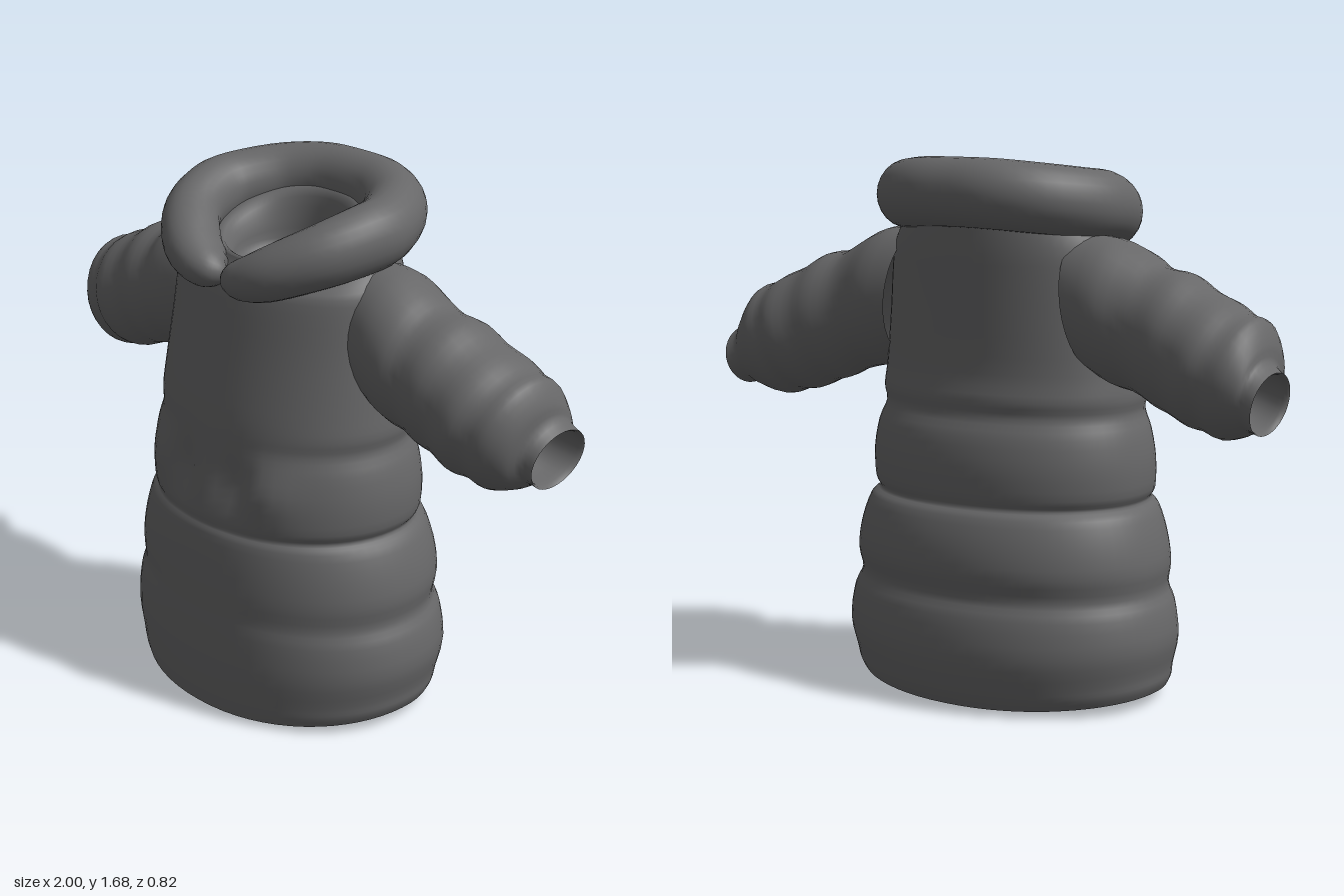
import * as THREE from 'three';

const fabric = new THREE.MeshStandardMaterial({ color: 0x676768, side: THREE.DoubleSide });
fabric.name = 'charcoal fabric';

// Skin a list of closed rings of Vector3, optionally closing the two ends.
function loft(name, rings, capStart = false, capEnd = false) {
  const n = rings[0].length, pos = [], idx = [];
  rings.forEach(r => r.forEach(p => pos.push(p.x, p.y, p.z)));
  for (let i = 0; i < rings.length - 1; i++) {
    for (let j = 0; j < n; j++) {
      const a = i * n + j, b = i * n + (j + 1) % n;
      idx.push(a, a + n, b, b, a + n, b + n);
    }
  }
  const cap = (i, flip) => {
    const c = new THREE.Vector3();
    rings[i].forEach(p => c.addScaledVector(p, 1 / n));
    const k = pos.length / 3;
    pos.push(c.x, c.y, c.z);
    for (let j = 0; j < n; j++) {
      const a = i * n + j, b = i * n + (j + 1) % n;
      if (flip) idx.push(k, a, b); else idx.push(k, b, a);
    }
  };
  if (capStart) cap(0, true);
  if (capEnd) cap(rings.length - 1, false);
  const g = new THREE.BufferGeometry();
  g.setAttribute('position', new THREE.Float32BufferAttribute(pos, 3));
  g.setIndex(idx);
  g.computeVertexNormals();
  const m = new THREE.Mesh(g, fabric);
  m.name = name;
  return m;
}

const smooth = (a, b, v) => THREE.MathUtils.smoothstep(v, a, b);
const gauss = (v, c, w) => Math.exp(-(((v - c) / w) ** 2));

// Rounded body section: half width, front depth, back depth.
function bodyRing([y, w, front, back]) {
  const ring = [], n = 64, e = 2 / 2.1;
  for (let j = 0; j < n; j++) {
    const t = j / n * Math.PI * 2, c = Math.cos(t), s = Math.sin(t);
    const x = w * Math.sign(c) * Math.abs(c) ** e;
    let z = (s > 0 ? front : -back) * Math.abs(s) ** e;
    // hem dips at front and back, neckline slopes forward
    const dip = 0.035 * (z / 0.4) ** 2 * (1 - smooth(0.03, 0.35, y));
    const slope = 0.35 * z * smooth(1.36, 1.5, y);
    // pocket creases and the soft bulge beside them
    if (s > 0) {
      const ax = Math.abs(x), py = gauss(y, 0.77, 0.085);
      z += py * (0.02 * gauss(ax, 0.25, 0.08) - 0.032 * gauss(ax, 0.11, 0.045));
    }
    ring.push(new THREE.Vector3(x, y - dip - slope, z));
  }
  return ring;
}

// Quilted body rows: y, half width, front, back
const bodyRows = [
  [0.04, 0.52, 0.395, 0.36], [0.07, 0.535, 0.4, 0.375], [0.11, 0.54, 0.405, 0.39],
  [0.2, 0.56, 0.41, 0.41], [0.3, 0.545, 0.406, 0.395], [0.355, 0.52, 0.402, 0.372],
  [0.43, 0.53, 0.4, 0.39], [0.52, 0.515, 0.392, 0.38], [0.6, 0.485, 0.38, 0.352],
  [0.625, 0.455, 0.368, 0.325], [0.66, 0.472, 0.372, 0.335], [0.75, 0.475, 0.365, 0.337],
  [0.84, 0.46, 0.352, 0.32], [0.9, 0.437, 0.344, 0.292], [0.95, 0.445, 0.338, 0.297],
  [1.03, 0.437, 0.325, 0.282], [1.2, 0.42, 0.29, 0.28], [1.33, 0.41, 0.262, 0.28],
  [1.4, 0.395, 0.24, 0.28], [1.46, 0.34, 0.21, 0.27], [1.5, 0.27, 0.19, 0.23]];
// Inside of the neck and inside of the hem, both from top to bottom
const neckRows = [[1.5, 0.27, 0.19, 0.23], [1.5, 0.21, 0.18, 0.185],
  [1.44, 0.178, 0.16, 0.165], [1.38, 0.165, 0.145, 0.155], [1.34, 0.1, 0.09, 0.1]];
const liningRows = [[0.26, 0.18, 0.13, 0.13], [0.21, 0.34, 0.26, 0.24], [0.12, 0.445, 0.35, 0.305]];
const hemRows = [[0.12, 0.445, 0.35, 0.305], [0.055, 0.455, 0.36, 0.31],
  [0.032, 0.485, 0.375, 0.33], [0.04, 0.52, 0.395, 0.36]];

// Extra smooth steps between rows so the puffs look soft
function refine(rows, steps = 3) {
  const out = [];
  for (let i = 0; i < rows.length - 1; i++) {
    const at = k => rows[Math.min(rows.length - 1, Math.max(0, k))];
    for (let s = 0; s < steps; s++) {
      const t = s / steps;
      out.push(at(i).map((p1, k) => {
        const p0 = at(i - 1)[k], p2 = at(i + 1)[k], p3 = at(i + 2)[k];
        return p1 + 0.5 * t * (p2 - p0 + t * (2 * p0 - 5 * p1 + 4 * p2 - p3 + t * (3 * (p1 - p2) + p3 - p0)));
      }));
    }
  }
  out.push(rows[rows.length - 1]);
  return out;
}

// Sleeve rings: top x, top y, bottom x, bottom y, centre z, half depth
const sleeveRows = [
  [0.3, 1.45, 0.36, 1.04, -0.06, 0.17], [0.42, 1.442, 0.44, 1.0, -0.055, 0.19],
  [0.52, 1.4, 0.5, 0.985, -0.045, 0.188], [0.585, 1.362, 0.55, 0.97, -0.055, 0.184],
  [0.67, 1.348, 0.6, 0.945, -0.06, 0.196], [0.745, 1.305, 0.65, 0.93, -0.068, 0.194],
  [0.82, 1.275, 0.72, 0.9, -0.072, 0.207], [0.875, 1.245, 0.77, 0.893, -0.08, 0.188],
  [0.925, 1.228, 0.825, 0.875, -0.085, 0.182], [0.957, 1.165, 0.895, 0.893, -0.1, 0.15],
  [0.965, 1.118, 0.93, 0.912, -0.122, 0.118], [1.0, 1.09, 0.965, 0.905, -0.13, 0.115]];
const cuffRows = [[1.0, 1.09, 0.965, 0.905, -0.13, 0.115], [0.985, 1.085, 0.95, 0.915, -0.13, 0.105],
  [0.93, 1.1, 0.89, 0.93, -0.12, 0.1], [0.85, 1.11, 0.81, 0.96, -0.11, 0.09]];

function sleeveRing([tx, ty, bx, by, cz, d], side) {
  const ring = [], n = 32;
  for (let j = 0; j < n; j++) {
    const t = -side * j / n * Math.PI * 2, c = Math.cos(t) / 2;
    ring.push(new THREE.Vector3(side * ((tx + bx) / 2 + c * (tx - bx)),
      (ty + by) / 2 + c * (ty - by), cz + d * Math.sin(t)));
  }
  return ring;
}

// Padded collar path from front end to back: x, y, z, half width, half height
const collarHalf = [
  [0.025, 1.405, 0.235, 0.015, 0.015], [0.04, 1.405, 0.245, 0.055, 0.045],
  [0.09, 1.415, 0.255, 0.08, 0.07], [0.18, 1.45, 0.23, 0.09, 0.09],
  [0.28, 1.5, 0.145, 0.09, 0.1], [0.325, 1.53, 0.03, 0.092, 0.106],
  [0.32, 1.543, -0.08, 0.096, 0.106], [0.245, 1.56, -0.205, 0.1, 0.106],
  [0.13, 1.572, -0.273, 0.1, 0.106]];
const collarRows = [...collarHalf, [0, 1.575, -0.287, 0.097, 0.105],
  ...collarHalf.slice().reverse().map(([x, ...r]) => [-x, ...r])];

function collarRings() {
  const rows = refine(collarRows, 4);
  return rows.map(([x, y, z, w, h], i) => {
    const a = rows[Math.max(0, i - 1)], b = rows[Math.min(rows.length - 1, i + 1)];
    const out = new THREE.Vector3(a[2] - b[2], 0, b[0] - a[0]).normalize();
    const ring = [], n = 24;
    for (let j = 0; j < n; j++) {
      const t = j / n * Math.PI * 2;
      ring.push(new THREE.Vector3(x, y + h * Math.sin(t), z).addScaledVector(out, w * Math.cos(t)));
    }
    return ring;
  });
}

export function createModel() {
  const coat = new THREE.Group();
  coat.name = 'quilted coat';
  coat.add(loft('body', refine(bodyRows).map(bodyRing)));
  coat.add(loft('neckLining', refine(neckRows).map(bodyRing), false, true));
  coat.add(loft('hemLining', refine(liningRows).map(bodyRing), true));
  coat.add(loft('hemBand', refine(hemRows).map(bodyRing)));
  coat.add(loft('collar', collarRings(), true, true));
  for (const [label, side] of [['left', 1], ['right', -1]]) {
    coat.add(loft(label + 'Sleeve', refine(sleeveRows).map(r => sleeveRing(r, side))));
    coat.add(loft(label + 'CuffLining', refine(cuffRows).map(r => sleeveRing(r, side)), false, true));
  }
  return coat;
}
